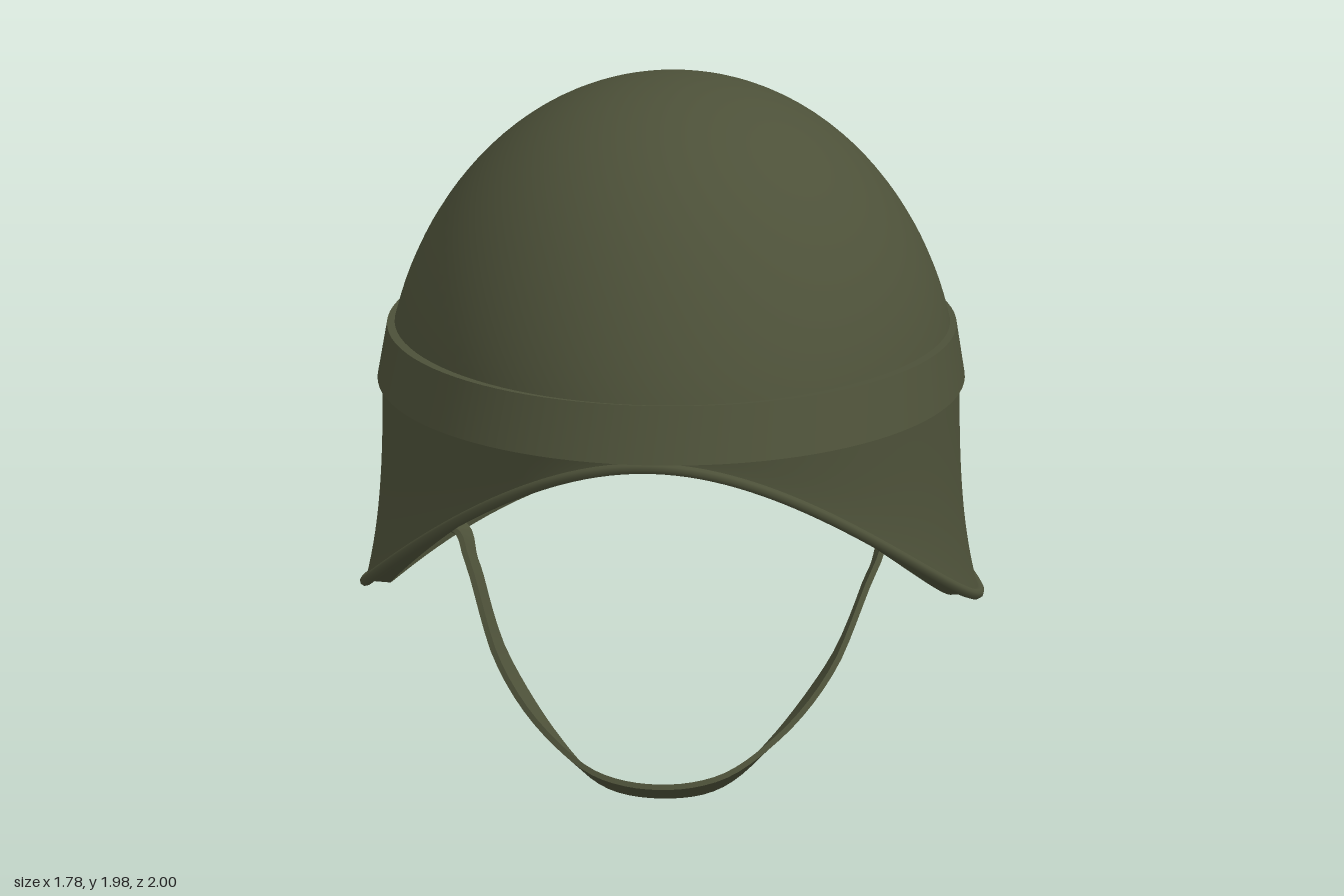
import * as THREE from 'three';
import { mergeVertices, toCreasedNormals } from 'three/addons/utils/BufferGeometryUtils.js';

const olive = new THREE.MeshStandardMaterial({ color: 0x4d5139 });
olive.name = 'olive drab';

const SEG = 96;
const { sin, cos, PI } = Math;
const bandTop = (z) => 1.27 + 0.077 * z;
const bandBottom = (z) => 1.117 + 0.0725 * z;

// Skin a list of closed rows of points; surface faces right of the row direction
function skin(rows, crease) {
  const n = rows[0].length, index = [];
  for (let r = 0; r < rows.length - 1; r++) {
    for (let j = 0; j < n; j++) {
      const a = r * n + j, b = r * n + (j + 1) % n;
      index.push(a, a + n, b, a + n, b + n, b);
    }
  }
  let geo = new THREE.BufferGeometry();
  geo.setAttribute('position', new THREE.Float32BufferAttribute(rows.flat(2), 3));
  geo.setIndex(index);
  geo = mergeVertices(geo, 1e-5);
  geo.computeVertexNormals();
  return crease ? toCreasedNormals(geo, crease) : geo;
}

// One ring around the head: a = 0 is the front
const ring = (fn) => Array.from({ length: SEG }, (_, j) => fn((j / SEG) * 2 * PI));
const steps = (n) => Array.from({ length: n + 1 }, (_, i) => i / n);

// Lower edge: high arch at the brow, low at the sides, slightly raised at the nape
function rimPoint(a) {
  const c = cos(a), narrow = 1 - 0.05 * Math.max(c, 0) ** 4;
  return [0.872 * sin(a) * narrow, 0.475 + 0.275 * c + 0.382 * c * c + 0.042 * c ** 3, 0.983 * c];
}

// Skirt from under the band (t = 0) flaring out to the rim (t = 1)
function skirtPoint(a, t, scale = 1, flare = 1) {
  const [rx, ry, rz] = rimPoint(a);
  const tx = 0.82 * sin(a), tz = 0.038 + 0.94 * cos(a);
  const ty = bandBottom(tz) + 0.01, f = flare * t ** 3;
  return [(tx + (rx - tx) * f) * scale, ty + (ry - ty) * t, (tz + (rz - tz) * f) * scale];
}

// Dome from the crown (t = 0) to the tilted edge behind the band (t = 1)
function domePoint(a, t, scale = 1) {
  const edge = bandTop(0.9 * cos(a)) - 0.03;
  const th = t * Math.acos((edge - 1.1) / 0.88), c = cos(a);
  const s = sin(th) * (1 - 0.025 * sin(2 * th));
  const z = 0.9 * s * c + 0.09 * s ** 8 * Math.max(c, 0) ** 2;
  return [0.813 * s * sin(a) * scale, 1.1 + 0.88 * cos(th) * scale, z * scale];
}

// Webbing strap swept along a hanging loop; its flat side turns to face the cheeks
function strapGeometry() {
  const half = [[0.77, 0.6], [0.72, 0.605], [0.66, 0.618], [0.61, 0.6], [0.57, 0.53], [0.47, 0.325],
    [0.32, 0.16], [0.17, 0.065]];
  const toVec = ([x, y]) => new THREE.Vector3(x, y, 0.574 - 1.1 * y);
  const path = new THREE.CatmullRomCurve3([
    ...half.map(([x, y]) => toVec([-x, y])),
    toVec([0, 0.041]),
    ...half.slice().reverse().map(toVec),
  ]);
  const rows = steps(90).map((t) => {
    const p = path.getPoint(t), T = path.getTangent(t);
    const tilt = 0.62 * (1 - THREE.MathUtils.smoothstep(Math.abs(p.x), 0.1, 0.45));
    const W = new THREE.Vector3(0, tilt, 1);
    W.addScaledVector(T, -W.dot(T)).normalize().multiplyScalar(0.056);
    const N = T.clone().cross(W).normalize().multiplyScalar(0.008);
    return [[1, 1], [1, -1], [-1, -1], [-1, 1]].map(([w, n]) =>
      p.clone().addScaledVector(W, w).addScaledVector(N, n).toArray());
  });
  return skin(rows, 0.7);
}

export function createModel() {
  const model = new THREE.Group();
  model.name = 'helmet';
  const add = (name, geo) => {
    const mesh = new THREE.Mesh(geo, olive);
    mesh.name = name;
    model.add(mesh);
    return mesh;
  };

  add('dome', skin(steps(28).map((t) => ring((a) => domePoint(a, t)))));
  add('skirt', skin(steps(16).map((t) => ring((a) => skirtPoint(a, t)))));

  // Thick underside of the rim, then the inside surface up to the crown
  const innerRim = ring((a) => skirtPoint(a, 1, 0.945, 0.5));
  add('rimUnderside', skin([ring(rimPoint), innerRim]));
  add('innerShell', skin([
    innerRim,
    ...steps(14).slice(1).map((t) => ring((a) => skirtPoint(a, 1 - t, 0.945, 0.5))),
    ...steps(24).map((t) => ring((a) => domePoint(a, 1 - t, 0.955))),
  ]));

  // Tilted band, wider below and drawn out over the brow
  const bandRow = (rx, cz, rz, height) => ring((a) => {
    const z = cz + rz * cos(a);
    return [rx * sin(a), height(z), z];
  });
  add('band', skin([
    bandRow(0.77, 0.01, 0.87, bandTop),
    bandRow(0.81, 0.0075, 0.9125, bandTop),
    bandRow(0.835, 0.035, 0.965, bandBottom),
    bandRow(0.8, 0.035, 0.925, bandBottom),
  ], 0.6));

  // Rolled edge
  const edge = new THREE.CatmullRomCurve3(
    ring(rimPoint).map((p) => new THREE.Vector3(...p)), true);
  add('rolledRim', new THREE.TubeGeometry(edge, 160, 0.016, 8, true));

  // Small tab at the back of the band
  const tab = add('bandTab', new THREE.BoxGeometry(0.15, 0.055, 0.009));
  tab.position.set(0.3, 1.128, -0.866);
  tab.rotation.y = Math.atan2(0.43, -1);

  // Chin strap and its wall loops
  add('chinStrap', strapGeometry());
  for (const side of [-1, 1]) {
    const loop = add(side > 0 ? 'leftStrapLoop' : 'rightStrapLoop',
      new THREE.TorusGeometry(0.05, 0.007, 6, 3).rotateZ(PI / 2).rotateY(PI / 2));
    loop.position.set(side * 0.75, 0.605, -0.1);
  }
  return model;
}
